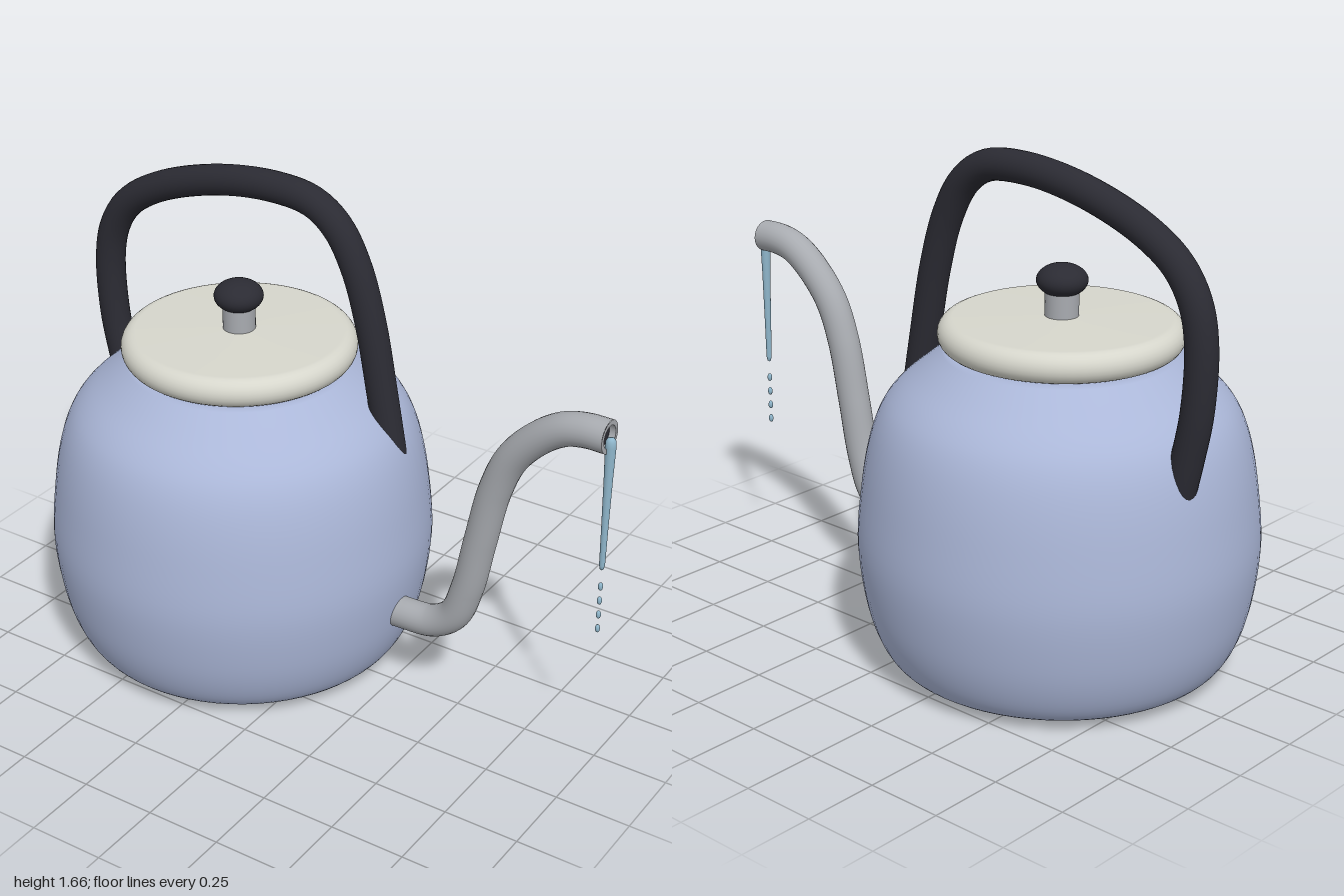
import * as THREE from 'three';

const BODY_X = -0.35; // axis of the pot

function material(name, color) {
  const m = new THREE.MeshStandardMaterial({ color });
  m.name = name;
  return m;
}

const v2 = (list) => list.map(([x, y]) => new THREE.Vector2(x, y));

function tube(points, z, radius, segments) {
  const curve = new THREE.CatmullRomCurve3(
    points.map(([x, y]) => new THREE.Vector3(x, y, z)), false, 'centripetal');
  return new THREE.TubeGeometry(curve, segments, radius, 24, false);
}

export function createModel() {
  const blue = material('blue enamel', 0xabb7d8);
  const cream = material('cream lid', 0xd6d6cc);
  const steel = material('steel', 0xa8abb0);
  const black = material('black grip', 0x2b2b33);
  const water = material('water', 0x8fb6cb);

  const group = new THREE.Group();
  group.name = 'kettle';
  const add = (name, geometry, mat, x = 0, y = 0, z = 0) => {
    const mesh = new THREE.Mesh(geometry, mat);
    mesh.name = name;
    mesh.position.set(x, y, z);
    group.add(mesh);
    return mesh;
  };

  // Rounded pot, with a flat closed top hidden under the lid
  const side = new THREE.SplineCurve(v2([
    [0.4, 0.012], [0.48, 0.018], [0.54, 0.05], [0.585, 0.13], [0.617, 0.25],
    [0.635, 0.42], [0.62, 0.6], [0.595, 0.74], [0.56, 0.84], [0.51, 0.91],
    [0.43, 0.98], [0.355, 1.04]
  ])).getPoints(48);
  add('body', new THREE.LatheGeometry(
    [new THREE.Vector2(0, 0.012), ...side, new THREE.Vector2(0, 1.045)], 72), blue, BODY_X);

  // Base plate
  add('base', new THREE.CylinderGeometry(0.405, 0.4, 0.016, 64), steel, BODY_X, 0.008);

  // Lid with a rounded rim
  const rim = [];
  for (let i = 0; i <= 12; i++) {
    const a = -Math.PI / 2 + (i / 12) * Math.PI;
    rim.push(new THREE.Vector2(0.335 + 0.047 * Math.cos(a), 1.089 + 0.049 * Math.sin(a)));
  }
  add('lid', new THREE.LatheGeometry(
    [new THREE.Vector2(0, 1.04), ...rim, new THREE.Vector2(0, 1.145)], 64), cream, BODY_X);

  // Knob on its stem
  add('knobStem', new THREE.CylinderGeometry(0.053, 0.053, 0.1, 32), steel, BODY_X, 1.18);
  add('knob', new THREE.SphereGeometry(1, 32, 20), black, BODY_X, 1.256)
    .scale.set(0.08, 0.051, 0.08);

  // Hoop handle, set behind the centre line, ends sunk in the pot
  add('handle', tube([
    [-0.885, 0.72], [-0.915, 0.85], [-0.943, 1.0], [-0.95, 1.2], [-0.925, 1.32],
    [-0.86, 1.42], [-0.73, 1.505], [-0.5, 1.582], [-0.28, 1.61], [-0.13, 1.593],
    [-0.04, 1.53], [0.03, 1.41], [0.085, 1.23], [0.13, 1.0], [0.172, 0.77]
  ], -0.1, 0.05, 90), black);

  // Swan-neck spout with an open mouth
  add('spout', tube([
    [0.2, 0.28], [0.3, 0.28], [0.4, 0.291], [0.475, 0.345], [0.52, 0.46],
    [0.56, 0.65], [0.605, 0.85], [0.66, 0.98], [0.75, 1.08], [0.83, 1.132],
    [0.9, 1.149], [0.975, 1.15]
  ], 0, 0.053, 80), steel);
  const faceLeft = Math.PI / 2;
  add('spoutLip', new THREE.RingGeometry(0.037, 0.053, 32), steel, 0.975, 1.15)
    .rotation.y = faceLeft;
  add('spoutHole', new THREE.CircleGeometry(0.038, 32), black, 0.955, 1.15)
    .rotation.y = faceLeft;
  const wall = new THREE.CylinderGeometry(0.037, 0.037, 0.022, 32, 1, true);
  wall.scale(-1, 1, 1); // turned inside out
  add('spoutInside', wall, steel, 0.965, 1.15).rotation.z = Math.PI / 2;

  // Thin stream of water and falling drops
  add('stream', new THREE.LatheGeometry(v2([
    [0, 0.69], [0.006, 0.695], [0.009, 0.71], [0.011, 0.85], [0.014, 1.02],
    [0.017, 1.12], [0.016, 1.138], [0.01, 1.147], [0, 1.15]
  ]), 20), water, 0.98);
  for (let i = 0; i < 4; i++) {
    add('drop', new THREE.SphereGeometry(1, 14, 10), water, 0.98, 0.632 - i * 0.051)
      .scale.set(0.008, 0.014, 0.008);
  }

  return group;
}
